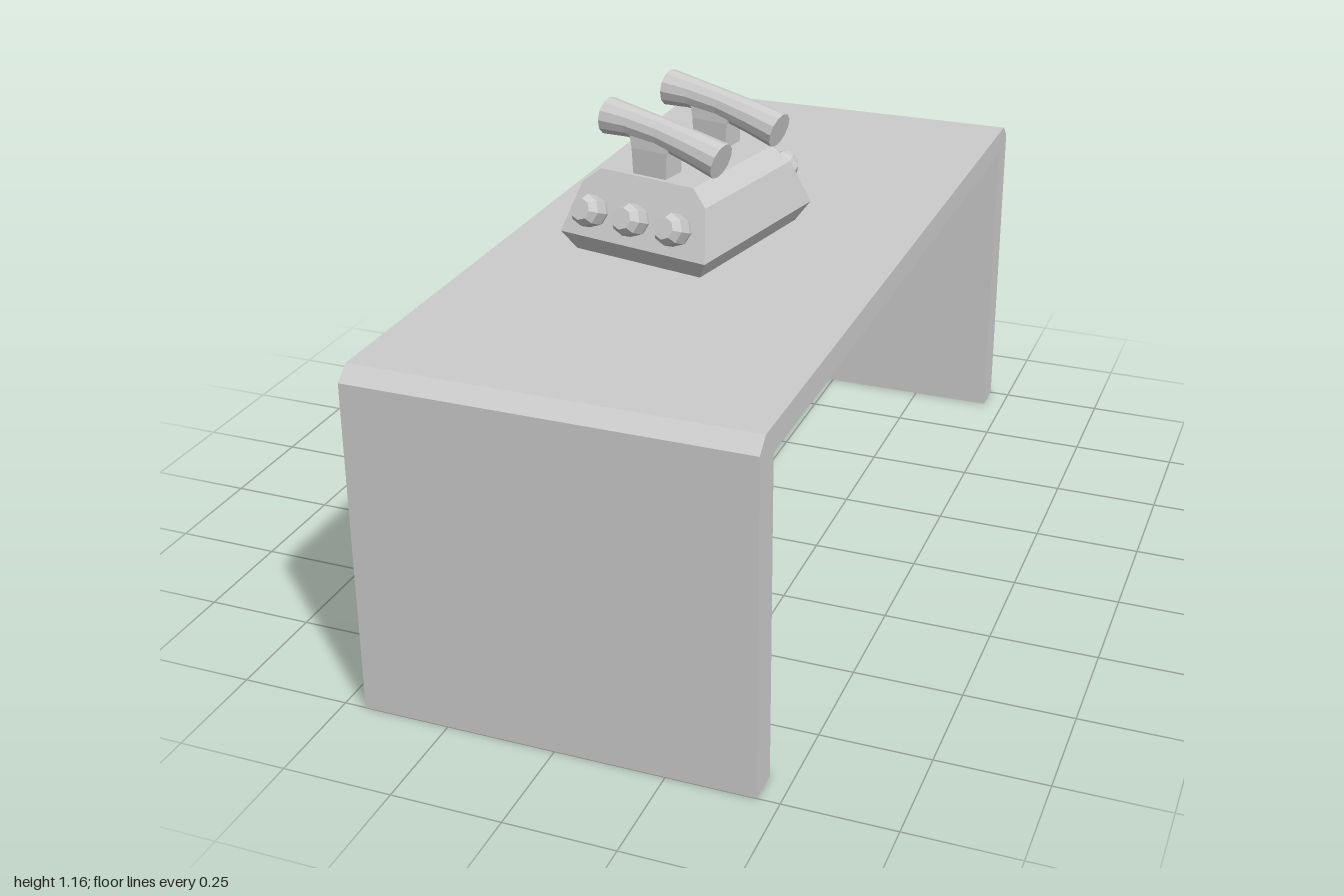
import * as THREE from 'three';

const material = new THREE.MeshStandardMaterial({ color: 0xcccccc, flatShading: true });

function mesh(name, geometry) {
  const m = new THREE.Mesh(geometry, material);
  m.name = name;
  return m;
}

// Skin a row of matching convex rings and cap both ends.
// Each ring runs counter-clockwise when seen from the far end of the row.
function loft(rings) {
  const pos = [];
  const tri = (...pts) => pts.forEach((p) => pos.push(...p));
  const n = rings[0].length;
  for (let i = 0; i < rings.length - 1; i++) {
    for (let j = 0; j < n; j++) {
      const k = (j + 1) % n;
      const [a, b, c, d] = [rings[i][j], rings[i][k], rings[i + 1][k], rings[i + 1][j]];
      tri(a, b, c);
      tri(a, c, d);
    }
  }
  const first = rings[0];
  const last = rings[rings.length - 1];
  for (let j = 1; j < n - 1; j++) {
    tri(first[0], first[j + 1], first[j]);
    tri(last[0], last[j], last[j + 1]);
  }
  const g = new THREE.BufferGeometry();
  g.setAttribute('position', new THREE.Float32BufferAttribute(pos, 3));
  g.computeVertexNormals();
  return g;
}

// Horizontal rectangle ring from half width, height and half length
const rect = ([hw, y, hl]) => [[-hw, y, hl], [hw, y, hl], [hw, y, -hl], [-hw, y, -hl]];

// Table: one bent slab with chamfered outer corners
function table() {
  const shape = new THREE.Shape([
    [-1, 0], [-0.92, 0], [-0.92, 0.75], [0.92, 0.75], [0.92, 0], [1, 0],
    [1, 0.78], [0.965, 0.81], [-0.965, 0.81], [-1, 0.78],
  ].map(([x, y]) => new THREE.Vector2(x, y)));
  const g = new THREE.ExtrudeGeometry(shape, { depth: 0.9, bevelEnabled: false });
  g.translate(0, 0, -0.45);
  g.rotateY(-Math.PI / 2);
  return mesh('table', g);
}

// Grip: a drooping bar, slimmer in the middle, on a flared stem
function grip() {
  const group = new THREE.Group();
  group.name = 'grip';
  const path = [ // x, y, radius
    [-0.13, 0.303, 0.043], [-0.065, 0.299, 0.036], [0.015, 0.287, 0.034],
    [0.1, 0.267, 0.038], [0.17, 0.248, 0.042],
  ];
  const sides = 12;
  const rings = path.map(([x, y, r], i) => {
    const a = path[Math.max(i - 1, 0)];
    const b = path[Math.min(i + 1, path.length - 1)];
    const t = new THREE.Vector2(b[0] - a[0], b[1] - a[1]).normalize();
    return Array.from({ length: sides }, (_, j) => {
      const angle = (j / sides) * Math.PI * 2;
      const up = r * Math.cos(angle);
      return [x - t.y * up, y + t.x * up, r * Math.sin(angle)];
    });
  });
  group.add(mesh('gripBar', loft(rings)));
  group.add(mesh('gripStem', loft([
    [0.043, 0.18, 0.032], [0.047, 0.25, 0.032], [0.056, 0.285, 0.028],
  ].map(rect))));
  return group;
}

// Eight-sided knob with a chamfered tip, pointing along +y
const knobGeometry = new THREE.LatheGeometry(
  [[0.026, -0.02], [0.037, 0.012], [0.037, 0.048], [0.025, 0.068], [0, 0.068]]
    .map(([x, y]) => new THREE.Vector2(x, y)), 8);

// Control box with knobs on both sloped ends and two grips on top
function controlBox() {
  const group = new THREE.Group();
  group.name = 'controlBox';
  group.add(mesh('boxBody', loft([
    [0.167, 0, 0.21], [0.195, 0.045, 0.235], [0.166, 0.155, 0.185], [0.124, 0.19, 0.169],
  ].map(rect))));

  for (const side of [1, -1]) {
    const knobs = new THREE.Group();
    knobs.name = side > 0 ? 'frontKnobs' : 'backKnobs';
    for (let i = -1; i <= 1; i++) {
      const knob = mesh('knob', knobGeometry);
      knob.position.set(i * 0.112, 0.1, 0.21);
      knob.rotation.x = Math.PI / 2 - 0.4;
      knobs.add(knob);
    }
    knobs.rotation.y = side > 0 ? 0 : Math.PI;
    group.add(knobs);

    const g = grip();
    g.position.z = side * 0.126;
    group.add(g);
  }
  return group;
}

export function createModel() {
  const model = new THREE.Group();
  model.name = 'tableWithControlBox';
  const box = controlBox();
  box.position.set(-0.0625, 0.81, 0.06);
  box.rotation.y = -0.2;
  model.add(table(), box);
  return model;
}
